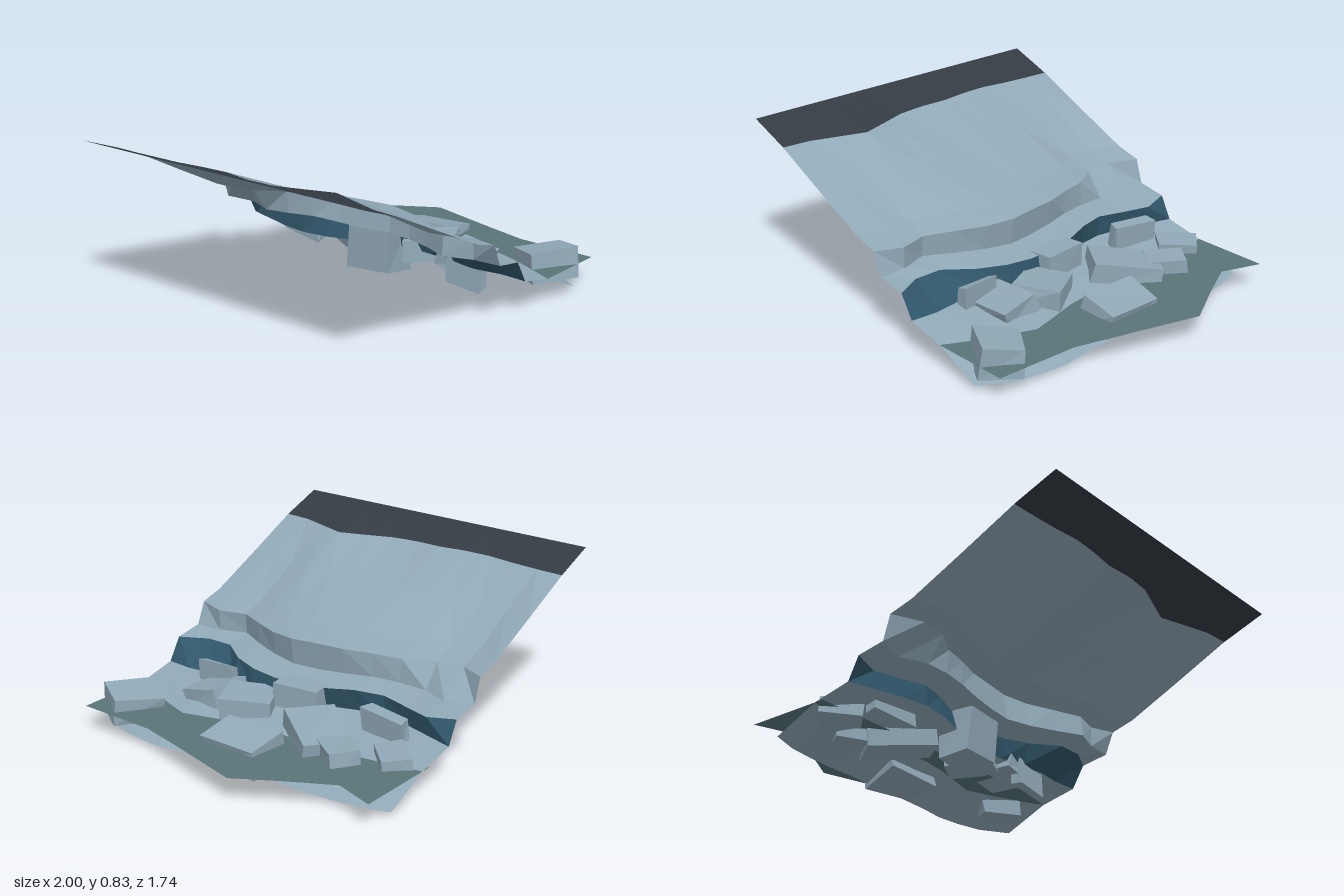
import * as THREE from 'three';

const mat = (name, color) => {
  const m = new THREE.MeshStandardMaterial({ color, side: THREE.DoubleSide, flatShading: true });
  m.name = name;
  return m;
};

// Contour lines of the slope, from the back row to the front row
const ROWS = 13;
const zAt = (i) => -0.88 + (1.73 * i) / (ROWS - 1);
const crest = [-.77, -.775, -.78, -.79, -.78, -.765, -.78, -.77, -.72, -.67, -.715, -.76, -.77];
const cliffTop = [-.05, -.13, -.12, -.03, .01, .06, .08, .10, .07, .01, -.06, -.02, -.06];
const cliffBase = [-.01, .03, -.03, -.02, .01, .04, .06, .08, .05, 0, -.07, -.02, -.01];
const ledgeLip = [.14, .18, .14, .11, .15, .20, .225, .235, .22, .17, .065, .065, .14];
const floorStart = [.20, .16, .12, .10, .12, .17, .23, .25, .24, .22, .20, .22, .21];
const waterLine = [.41, .44, .46, .47, .48, .49, .49, .51, .55, .59, .54, .48, .41];
const floorEnd = [.65, .70, .72, .73, .73, .74, .74, .75, .76, .78, .77, .74, .65];
// Heights that vary along the rows
const cliffTopY = [.43, .42, .415, .42, .425, .43, .43, .428, .422, .42, .412, .412, .42];
const ledgeY = [.28, .268, .268, .275, .28, .27, .262, .264, .27, .277, .28, .28, .28];

// Faceted band running through several contour lines (row -> [x, y])
function strip(lines) {
  const pos = [], idx = [];
  lines.forEach((line) => {
    for (let i = 0; i < ROWS; i++) {
      const [x, y] = line(i);
      pos.push(x, y, zAt(i));
    }
  });
  for (let c = 0; c < lines.length - 1; c++) {
    for (let i = 0; i < ROWS - 1; i++) {
      const a = c * ROWS + i, b = a + 1, d = a + ROWS, e = d + 1;
      idx.push(a, b, d, b, e, d);
    }
  }
  const g = new THREE.BufferGeometry();
  g.setAttribute('position', new THREE.Float32BufferAttribute(pos, 3));
  g.setIndex(idx);
  const flat = g.toNonIndexed();
  flat.computeVertexNormals();
  return flat;
}

// Small seeded generator for the uneven rock corners
let seed = 7;
const rand = () => ((seed = (seed * 16807) % 2147483647) / 2147483647) - 0.5;

// Block with corners pulled slightly out of square
function rockGeometry(w, h, d) {
  const g = new THREE.BoxGeometry(w, h, d).toNonIndexed();
  const p = g.attributes.position;
  const moves = {};
  for (let i = 0; i < p.count; i++) {
    const v = [p.getX(i), p.getY(i), p.getZ(i)];
    const key = v.map((n) => n > 0).join();
    moves[key] ??= [rand() * w * 0.1, rand() * h * 0.18, rand() * d * 0.1];
    p.setXYZ(i, ...v.map((n, k) => n + moves[key][k]));
  }
  g.computeVertexNormals();
  return g;
}

export function createModel() {
  const model = new THREE.Group();
  const ice = mat('pale blue stone', 0x90a8b7);
  const dark = mat('dark ridge', 0x343b43);
  const blue = mat('deep blue undercut', 0x30566a);
  const water = mat('grey green water', 0x587478);
  const add = (name, geometry, material, parent = model) => {
    const mesh = new THREE.Mesh(geometry, material);
    mesh.name = name;
    parent.add(mesh);
    return mesh;
  };

  // Contour lines with their heights
  const crestLine = (i) => [crest[i], 0.733 + 0.012 * Math.exp(-((i - 4) ** 2) / 4)];
  const topLine = (i) => [cliffTop[i], cliffTopY[i]];
  const slopeLine = (t, sag) => (i) => {
    const [x0, y0] = crestLine(i), [x1, y1] = topLine(i);
    return [x0 + (x1 - x0) * t, y0 + (y1 - y0) * t - sag];
  };
  const baseLine = (i) => [cliffBase[i], ledgeY[i] + 0.025];
  const lipLine = (i) => [ledgeLip[i], ledgeY[i]];
  const startLine = (i) => [floorStart[i], 0.165];

  // Terrain bands
  add('darkRidge', strip([() => [-1, 0.82], crestLine]), dark);
  add('slopeAndLedge', strip([
    crestLine, slopeLine(0.42, 0.012), slopeLine(0.82, 0.02), topLine, baseLine, lipLine,
  ]), ice);
  add('undercut', strip([lipLine, startLine]), blue);
  add('shoreFloor', strip([
    startLine, (i) => [waterLine[i], 0.12], (i) => [floorEnd[i], 0.013],
  ]), ice);

  // Water sheet
  const outline = [[.36, -.88], [.82, -.88], [.75, -.67], [.87, -.45], [1, -.23],
    [.89, .18], [.83, .42], [.82, .85], [.41, .85], [.36, .6]];
  const shape = new THREE.Shape(outline.map(([x, z]) => new THREE.Vector2(x, -z)));
  const sheet = new THREE.ShapeGeometry(shape).rotateX(-Math.PI / 2).translate(0, 0.12, 0);
  add('water', sheet, water);

  // Fallen rocks: x, z, width, depth, bottom, top, turn, tilt along z, tilt along x
  const rocks = new THREE.Group();
  rocks.name = 'fallenRocks';
  model.add(rocks);
  [
    [.405, -.715, .15, .20, .08, .17, -.74, 0, -.1],
    [.53, -.50, .15, .20, .06, .19, -.63, .05, 0],
    [.43, -.30, .25, .34, .06, .205, -.64, -.18, 0],
    [.665, -.035, .20, .31, .025, .175, 0, -.04, -.22],
    [.24, -.55, .065, .24, .10, .255, -.12, 0, -.05],
    [.20, -.03, .18, .25, .04, .26, .12, .03, 0],
    [.36, .18, .24, .25, .10, .215, .52, -.08, 0],
    [.345, .41, .25, .20, .11, .20, .05, .22, 0],
    [.24, .485, .06, .21, .05, .26, .08, 0, -.06],
    [.64, .70, .25, .21, .045, .185, -.55, -.1, 0],
  ].forEach(([x, z, w, d, y0, y1, turn, tiltZ, tiltX], i) => {
    const rock = add(`rock${i + 1}`, rockGeometry(w, y1 - y0, d), ice, rocks);
    rock.position.set(x, (y0 + y1) / 2, z);
    rock.rotation.set(tiltZ, turn, tiltX);
  });
  return model;
}
